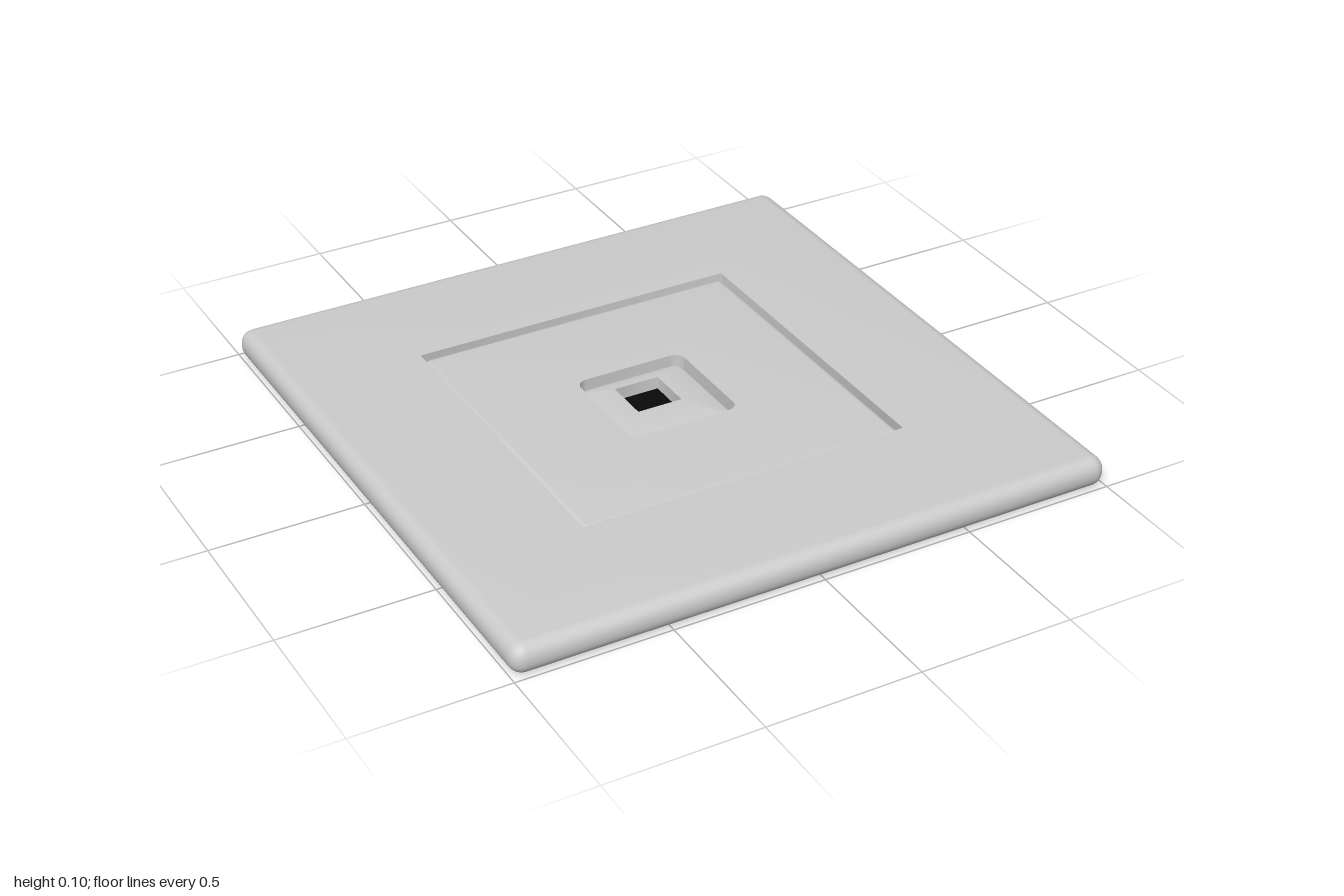
import * as THREE from 'three';
import { toCreasedNormals } from 'three/addons/utils/BufferGeometryUtils.js';

const STEPS = 6; // segments per rounded corner or edge

// Rounded square outline, counter-clockwise seen from above
function outline({ half, y, r = 0, z = 0 }) {
  const points = [];
  const c = half - r;
  for (let q = 0; q < 4; q++) {
    const sx = q === 0 || q === 3 ? 1 : -1;
    const sz = q < 2 ? -1 : 1;
    for (let i = 0; i <= STEPS; i++) {
      const a = (q + i / STEPS) * Math.PI / 2;
      points.push(new THREE.Vector3(sx * c + r * Math.cos(a), y, z + sz * c - r * Math.sin(a)));
    }
  }
  return points;
}

// Skin a list of rounded squares, going up the outside and inwards over the top
function loft(name, rings, color = 0xcccccc) {
  const loops = rings.map(outline);
  const positions = [];
  const tri = new THREE.Triangle();
  const add = (a, b, c) => {
    tri.set(a, b, c);
    if (tri.getArea() > 1e-9) for (const p of [a, b, c]) positions.push(p.x, p.y, p.z);
  };
  for (let k = 0; k + 1 < loops.length; k++) {
    const lower = loops[k], upper = loops[k + 1], n = lower.length;
    for (let j = 0; j < n; j++) {
      const m = (j + 1) % n;
      add(lower[j], lower[m], upper[m]);
      add(lower[j], upper[m], upper[j]);
    }
  }
  const geometry = new THREE.BufferGeometry();
  geometry.setAttribute('position', new THREE.Float32BufferAttribute(positions, 3));
  const mesh = new THREE.Mesh(toCreasedNormals(geometry, 0.6), new THREE.MeshStandardMaterial({ color }));
  mesh.name = name;
  return mesh;
}

// Quarter-round edge between angles, for a square of the given half width
function roundEdge(half, yCentre, radius, from, to, corner = radius) {
  return Array.from({ length: STEPS + 1 }, (_, i) => {
    const a = from + (to - from) * i / STEPS;
    const inset = radius * (1 - Math.cos(a));
    return { half: half - inset, y: yCentre + radius * Math.sin(a), r: Math.max(corner - inset, 0) };
  });
}

export function createModel() {
  const model = new THREE.Group();
  model.name = 'wallPlate';
  const Q = Math.PI / 2;

  // Outer plate with rounded rim and a square recess
  model.add(loft('outerPlate', [
    { half: 0, y: 0 },
    ...roundEdge(1, 0.045, 0.045, -Q, 0),
    ...roundEdge(1, 0.055, 0.045, 0, Q),
    { half: 0.553, y: 0.1, r: 0.003 },
    { half: 0.553, y: 0.04, r: 0.003 },
    { half: 0, y: 0.04 },
  ].filter((ring, i) => i < 15 || ring.half > 0.5)));

  // Panel sitting just below the plate surface, open in the middle
  model.add(loft('centrePanel', [
    { half: 0.548, y: 0.012, r: 0.022 },
    ...roundEdge(0.548, 0.066, 0.02, 0, Q, 0.022),
    { half: 0.187, y: 0.086, r: 0.035 },
    { half: 0.187, y: 0.012, r: 0.035 },
  ]));

  // Sunken button with an off-centre square window
  const z = -0.056;
  model.add(loft('sunkenButton', [
    { half: 0.184, y: 0.012, r: 0.035 },
    ...roundEdge(0.184, 0.038, 0.02, 0, Q, 0.035),
    { half: 0.077, y: 0.058, r: 0.002, z },
    { half: 0.077, y: 0.012, r: 0.002, z },
  ]));

  // Dark window floor
  model.add(loft('windowFloor', [
    { half: 0.077, y: 0.015, r: 0.002, z },
    { half: 0, y: 0.015, z },
  ], 0x0a0a0a));

  // Floor closing the gaps around the panel and button
  model.add(loft('recessFloor', [
    { half: 0.553, y: 0.04, r: 0.003 },
    { half: 0.54, y: 0.04, r: 0.003 },
  ]));
  return model;
}
